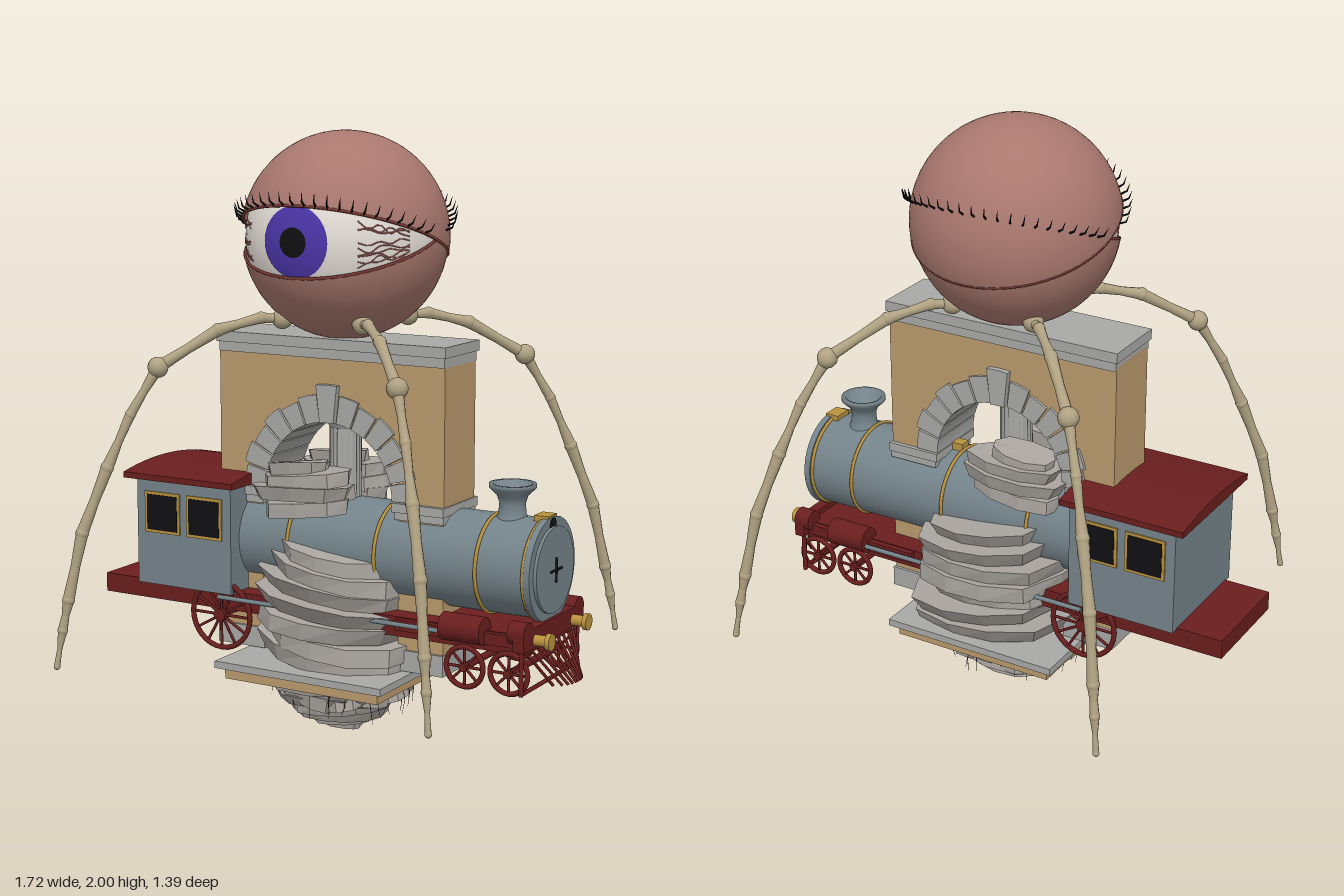
import * as THREE from 'three';

const mat = (color, extra = {}) => new THREE.MeshStandardMaterial({ color, ...extra });
const M = {
  lid: mat(0xa9786f, { side: THREE.DoubleSide }), rim: mat(0x7a3a34), white: mat(0xe6dfd8), iris: mat(0x4a36a8),
  black: mat(0x101012), vein: mat(0xb56a60), bone: mat(0xb0a282), wall: mat(0xba9a6c),
  stone: mat(0xa8a8a6), rock: mat(0xaaa5a0, { flatShading: true }), steel: mat(0x74838a),
  red: mat(0x6a1e1e), gold: mat(0xb8923e), root: mat(0x3c352c),
};
const V = (x, y, z) => new THREE.Vector3(x, y, z);

let seed = 7;
const rnd = () => (seed = (seed * 16807) % 2147483647) / 2147483647;

function group(name, parent) {
  const g = new THREE.Group();
  g.name = name;
  parent.add(g);
  return g;
}
function add(parent, name, geo, material, x = 0, y = 0, z = 0) {
  const m = new THREE.Mesh(geo, material);
  m.name = name;
  m.position.set(x, y, z);
  parent.add(m);
  return m;
}
// Box given by its limits on each axis
function box(parent, name, material, x0, x1, y0, y1, z0, z1) {
  return add(parent, name, new THREE.BoxGeometry(x1 - x0, y1 - y0, z1 - z0), material,
    (x0 + x1) / 2, (y0 + y1) / 2, (z0 + z1) / 2);
}
// Round bar from a to b
function rod(parent, name, material, a, b, r0, r1 = r0, sides = 8) {
  const d = b.clone().sub(a);
  const m = add(parent, name, new THREE.CylinderGeometry(r1, r0, d.length(), sides), material);
  m.position.copy(a).addScaledVector(d, 0.5);
  m.quaternion.setFromUnitVectors(V(0, 1, 0), d.normalize());
  return m;
}
// Irregular flat stone layer
function slab(parent, name, x, y, z, w, h, d, sides = 11, tilt = 0, squareness = 0.35) {
  const geo = new THREE.CylinderGeometry(0.5, 0.47, 1, sides, 1);
  const p = geo.attributes.position, s = rnd() * 50;
  for (let i = 0; i < p.count; i++) {
    const a = Math.atan2(p.getZ(i), p.getX(i)), k = Math.round(a / (Math.PI * 2) * sides + sides) % sides;
    const n = Math.sin(k * 12.99 + s + p.getY(i) * 1.3);
    const sq = 1 + squareness * (1 / Math.max(Math.abs(Math.cos(a)), Math.abs(Math.sin(a))) - 1);
    const f = sq * (1 + 0.07 * n);
    p.setXYZ(i, p.getX(i) * f * w, (p.getY(i) + 0.15 * Math.sin(k * 7.1 + s)) * h, p.getZ(i) * f * d);
  }
  geo.computeVertexNormals();
  add(parent, name, geo, M.rock, x, y, z).rotation.z = tilt;
}

function buildEye(root) {
  const eye = group('eye', root);
  eye.position.y = 1.66;
  add(eye, 'eyeball', new THREE.SphereGeometry(0.325, 48, 32), M.white);
  const cap = (name, r, angle, m) =>
    add(eye, name, new THREE.SphereGeometry(r, 40, 8, 0, Math.PI * 2, 0, angle).rotateX(Math.PI / 2), m);
  cap('iris', 0.327, 0.36, M.iris);
  cap('pupil', 0.329, 0.145, M.black);
  // Bloodshot veins creeping in from both corners
  for (const s of [-1, 1]) for (let i = 0; i < 9; i++) {
    const e = (rnd() - 0.5) * 0.5, pts = [];
    for (let j = 0; j < 6; j++) {
      const a = s * (1.2 - j * 0.11), el = e * Math.cos(a) * 1.1 + (rnd() - 0.5) * 0.08;
      pts.push(V(Math.sin(a) * Math.cos(el), Math.sin(el), Math.cos(a) * Math.cos(el)).multiplyScalar(0.3255));
    }
    add(eye, 'vein', new THREE.TubeGeometry(new THREE.CatmullRomCurve3(pts), 14, 0.002, 4), M.vein);
  }
  // Two hemispherical lids tilted apart, each with rim and lashes
  for (const [name, r, tilt, start, facing] of [['upperLid', 0.341, -0.345, 0, 1], ['lowerLid', 0.336, 0.345, Math.PI / 2, -1]]) {
    const lid = group(name, eye);
    lid.rotation.x = tilt;
    add(lid, name + 'Skin', new THREE.SphereGeometry(r, 56, 20, 0, Math.PI * 2, start, Math.PI / 2), M.lid);
    add(lid, name + 'Rim', new THREE.TorusGeometry(r - 0.003, 0.005, 6, 64).rotateX(Math.PI / 2), M.rim);
    for (let i = 0; i < 25; i++) {
      const a = (i / 24 - 0.5) * 2.7, x = Math.sin(a), z = Math.cos(a) * facing;
      const mid = V(x * 0.362, 0.008, z * 0.362);
      rod(lid, 'lash', M.black, V(x * 0.335, 0, z * 0.335), mid, 0.004, 0.003, 5);
      rod(lid, 'lash', M.black, mid, V(x * 0.375, 0.034, z * 0.375), 0.003, 0.0005, 5);
    }
  }
}

// Four jointed bony legs on the diagonals: [offset in x and z, height, joint radius]
function buildLegs(root) {
  const joints = [[0.15, 1.395, 0.034], [0.2, 1.4, 0.02], [0.3, 1.365, 0.022], [0.44, 1.25, 0.034], [0.505, 1.1, 0.018],
    [0.56, 0.93, 0.022], [0.62, 0.72, 0.022], [0.655, 0.5, 0.021], [0.67, 0.4, 0.017], [0.685, 0.28, 0.011]];
  for (const sx of [-1, 1]) for (const sz of [-1, 1]) {
    const leg = group('leg', root);
    const at = (j) => V(sx * j[0], j[1], sz * j[0]);
    joints.forEach((j, i) => {
      add(leg, 'joint', new THREE.SphereGeometry(j[2], 14, 10), M.bone).position.copy(at(j));
      if (!i) return;
      const a = at(joints[i - 1]), b = at(j), mid = a.clone().lerp(b, 0.5);
      const ra = Math.min(joints[i - 1][2], 0.022) * 0.92, rb = Math.min(j[2], 0.022) * 0.92, rm = Math.min(ra, rb) * 0.8;
      rod(leg, 'bone', M.bone, a, mid, ra, rm, 10);
      rod(leg, 'bone', M.bone, mid, b, rm, rb, 10);
    });
  }
}

function buildArch(root) {
  const arch = group('archway', root), cy = 0.82, ri = 0.24, ro = 0.32;
  const s = new THREE.Shape();
  s.moveTo(-0.425, 0.27); s.lineTo(-0.425, 1.28); s.lineTo(0.425, 1.28); s.lineTo(0.425, 0.27);
  s.lineTo(ri + 0.02, 0.27); s.lineTo(ri + 0.02, cy);
  s.absarc(0, cy, ri + 0.02, 0, Math.PI, false);
  s.lineTo(-ri - 0.02, 0.27);
  add(arch, 'wall', new THREE.ExtrudeGeometry(s, { depth: 0.21, bevelEnabled: false, curveSegments: 32 }), M.wall, 0, 0, -0.105);
  box(arch, 'corniceLower', M.stone, -0.425, 0.425, 1.268, 1.3, -0.11, 0.11);
  box(arch, 'corniceUpper', M.stone, -0.432, 0.432, 1.3, 1.335, -0.117, 0.117);
  // Ring of wedge stones
  const wedge = (name, a0, a1, r0, r1, half) => {
    const w = new THREE.Shape();
    w.absarc(0, 0, r1, a0, a1, false);
    w.absarc(0, 0, r0, a1, a0, true);
    add(arch, name, new THREE.ExtrudeGeometry(w, { depth: half * 2, bevelEnabled: false, curveSegments: 3 }), M.stone, 0, cy, -half);
  };
  const n = 13, step = Math.PI / n;
  for (let i = 0; i < n; i++) {
    const key = i === 6;
    wedge(key ? 'keystone' : 'archStone', i * step + 0.012, (i + 1) * step - 0.012, ri, key ? 0.365 : ro + (i % 2) * 0.012, key ? 0.125 : 0.115);
  }
  for (const x of [-0.34, 0.34]) {
    box(arch, 'impost', M.stone, x - 0.1, x + 0.09, 0.79, 0.82, -0.12, 0.12);
    box(arch, 'impostLower', M.stone, x - 0.09, x + 0.087, 0.765, 0.79, -0.113, 0.113);
    box(arch, 'pillarFoot', M.stone, x - 0.095, x + 0.09, 0.265, 0.335, -0.115, 0.115);
  }
  // Fluted column standing in the opening
  const flutes = new THREE.CylinderGeometry(0.05, 0.056, 0.78, 40, 1), p = flutes.attributes.position;
  for (let i = 0; i < p.count; i++) {
    const f = 1 + 0.07 * Math.cos(20 * Math.atan2(p.getZ(i), p.getX(i)));
    p.setX(i, p.getX(i) * f); p.setZ(i, p.getZ(i) * f);
  }
  flutes.computeVertexNormals();
  add(arch, 'column', flutes, M.stone, 0, 0.65, 0);
  add(arch, 'capital', new THREE.CylinderGeometry(0.068, 0.052, 0.03, 24), M.stone, 0, 1.045, 0);
  box(arch, 'capitalTop', M.stone, -0.07, 0.07, 1.06, 1.08, -0.07, 0.07);
}

function wheel(parent, x, y, z, r, spokes) {
  const w = group('wheel', parent);
  w.position.set(x, y, z);
  add(w, 'tyre', new THREE.TorusGeometry(r - 0.009, 0.009, 8, 32), M.red);
  add(w, 'hub', new THREE.CylinderGeometry(r * 0.18, r * 0.18, 0.03, 14).rotateX(Math.PI / 2), M.red);
  for (let i = 0; i < spokes; i++) {
    const a = i / spokes * Math.PI * 2;
    rod(w, 'spoke', M.red, V(0, 0, 0), V(Math.cos(a) * (r - 0.01), Math.sin(a) * (r - 0.01), 0), 0.005, 0.005, 6);
  }
}

function buildTrain(root) {
  const t = group('locomotive', root), axis = 0.64;
  const drum = (name, m, x0, x1, r, y = axis, z = 0) =>
    add(t, name, new THREE.CylinderGeometry(r, r, x1 - x0, 40).rotateZ(Math.PI / 2), m, (x0 + x1) / 2, y, z);
  drum('boiler', M.steel, -0.32, 0.74, 0.16);
  drum('smokeboxRim', M.steel, 0.735, 0.757, 0.17);
  drum('smokeboxDoor', M.steel, 0.75, 0.768, 0.14);
  for (const x of [-0.13, 0.2, 0.565, 0.73])
    add(t, 'band', new THREE.TorusGeometry(0.162, 0.006, 6, 48).rotateY(Math.PI / 2), M.gold, x, axis, 0);
  rod(t, 'doorHandle', M.black, V(0.772, axis - 0.04, 0), V(0.772, axis + 0.04, 0), 0.004);
  rod(t, 'doorHandle', M.black, V(0.772, axis, -0.04), V(0.772, axis, 0.04), 0.004);
  box(t, 'lamp', M.gold, 0.705, 0.755, 0.755, 0.815, -0.032, 0.032);
  drum('lampLens', M.black, 0.75, 0.759, 0.022, 0.785);
  box(t, 'valve', M.gold, 0.2, 0.24, 0.78, 0.825, -0.02, 0.02);
  const flue = [[0.06, 0.78], [0.045, 0.805], [0.042, 0.84], [0.05, 0.865], [0.076, 0.89], [0.076, 0.903], [0.062, 0.903], [0.04, 0.86], [0, 0.85]];
  add(t, 'chimney', new THREE.LatheGeometry(flue.map(([r, y]) => new THREE.Vector2(r, y)), 32), M.steel, 0.615, 0, 0);

  // Cab with bowed roof and two windows per side
  box(t, 'cab', M.steel, -0.7, -0.32, 0.46, 0.84, -0.21, 0.21);
  const roof = new THREE.Shape();
  roof.moveTo(-0.237, 0.825); roof.lineTo(0.237, 0.825); roof.lineTo(0.237, 0.845);
  roof.quadraticCurveTo(0, 0.893, -0.237, 0.845);
  add(t, 'roof', new THREE.ExtrudeGeometry(roof, { depth: 0.44, bevelEnabled: false }).rotateY(Math.PI / 2), M.red, -0.737, 0, 0);
  for (const s of [-1, 1]) {
    for (const x of [-0.595, -0.425]) {
      add(t, 'windowFrame', new THREE.BoxGeometry(0.142, 0.142, 0.01), M.gold, x, 0.712, s * 0.21);
      add(t, 'windowPane', new THREE.BoxGeometry(0.122, 0.122, 0.014), M.black, x, 0.712, s * 0.21);
    }
    // Running gear, cylinders and buffers
    wheel(t, -0.37, 0.385, s * 0.195, 0.123, 12);
    for (const x of [0.545, 0.7]) wheel(t, x, 0.337, s * 0.185, 0.074, 8);
    rod(t, 'connectingRod', M.steel, V(-0.37, 0.45, s * 0.215), V(0.48, 0.45, s * 0.215), 0.008);
    drum('cylinder', M.red, 0.475, 0.62, 0.045, 0.465, s * 0.195);
    drum('beamEnd', M.red, 0.71, 0.768, 0.036, 0.475, s * 0.19);
    drum('buffer', M.gold, 0.765, 0.81, 0.018, 0.445, s * 0.14);
    drum('bufferHead', M.gold, 0.81, 0.825, 0.027, 0.445, s * 0.14);
    rod(t, 'cowcatcherSide', M.red, V(0.75, 0.42, s * 0.2), V(0.75, 0.275, s * 0.2), 0.008);
  }
  for (const x of [-0.37, 0.545, 0.7]) {
    const y = x < 0 ? 0.385 : 0.337;
    rod(t, 'axle', M.red, V(x, y, -0.19), V(x, y, 0.19), 0.012);
  }
  box(t, 'chassis', M.red, -0.86, 0.75, 0.4, 0.465, -0.18, 0.18);
  box(t, 'frontDeck', M.red, 0.3, 0.75, 0.425, 0.462, -0.2, 0.2);
  box(t, 'bufferBeam', M.red, 0.73, 0.768, 0.42, 0.485, -0.225, 0.225);
  // Fan-shaped cowcatcher
  rod(t, 'cowcatcherBar', M.red, V(0.75, 0.28, -0.2), V(0.75, 0.28, 0.2), 0.007);
  for (let i = 0; i <= 10; i++) {
    const k = i / 5 - 1;
    rod(t, 'cowcatcherBar', M.red, V(0.765, 0.41, k * 0.19), V(0.765 + 0.092 * Math.sqrt(1 - k * k * 0.8), 0.29, k * 0.085), 0.005, 0.005, 6);
  }
}

function buildRocks(root) {
  const r = group('rocks', root);
  // Leaning strata around the boiler: [height, x, width, depth]
  for (const [y, x, w, d] of [[0.29, 0.01, 0.6, 0.58], [0.345, 0.03, 0.56, 0.61], [0.4, 0, 0.54, 0.58], [0.455, 0.03, 0.56, 0.62],
    [0.51, 0.02, 0.56, 0.57], [0.565, 0.03, 0.52, 0.56], [0.615, 0.02, 0.46, 0.5]])
    slab(r, 'stratum', x, y, 0, w, 0.058, d, 13, -0.1);
  // Ledges on top of the boiler, front and back
  for (const s of [-1, 1]) for (const [y, x, w, d] of [[0.775, -0.07, 0.32, 0.15], [0.825, -0.08, 0.36, 0.19], [0.87, -0.07, 0.33, 0.16], [0.9, -0.1, 0.22, 0.12]])
    slab(r, 'ledge', x, y, s * 0.13, w, 0.048, d, 9, 0.08);
  // Square plinth over a tapering floating base
  const island = group('floatingBase', root);
  box(island, 'plinth', M.stone, -0.315, 0.315, 0.238, 0.262, -0.32, 0.32);
  box(island, 'plinthSoil', M.wall, -0.29, 0.29, 0.2, 0.238, -0.295, 0.295);
  for (const [y, w] of [[0.19, 0.5], [0.16, 0.44], [0.13, 0.43], [0.1, 0.35], [0.073, 0.31], [0.046, 0.2], [0.022, 0.12]])
    slab(island, 'baseRock', 0, y, 0, w, 0.036, w, 12, (rnd() - 0.5) * 0.1, 0.25);
  for (let i = 0; i < 12; i++)
    slab(island, 'baseBoulder', Math.cos(i * 0.524) * 0.17, 0.13 + rnd() * 0.05, Math.sin(i * 0.524) * 0.17, 0.13, 0.05, 0.13, 7, (rnd() - 0.5) * 0.6);
  for (let i = 0; i < 36; i++) {
    const a = i * 2.4, q = 0.17 + rnd() * 0.07, y = 0.2;
    const mid = V(Math.cos(a) * (q + 0.01), y - 0.06, Math.sin(a) * (q + 0.01));
    rod(island, 'root', M.root, V(Math.cos(a) * q, y, Math.sin(a) * q), mid, 0.002, 0.0015, 4);
    rod(island, 'root', M.root, mid, V(mid.x + (rnd() - 0.5) * 0.03, mid.y - 0.02 - rnd() * 0.05, mid.z + (rnd() - 0.5) * 0.03), 0.0015, 0.0005, 4);
  }
  add(island, 'baseTip', new THREE.CylinderGeometry(0.045, 0.025, 0.03, 7), M.rock, 0, 0.015, 0);
}

export function createModel() {
  const root = new THREE.Group();
  root.name = 'eyeOnArchwayWithLocomotive';
  buildEye(root);
  buildLegs(root);
  buildArch(root);
  buildTrain(root);
  buildRocks(root);
  return root;
}
